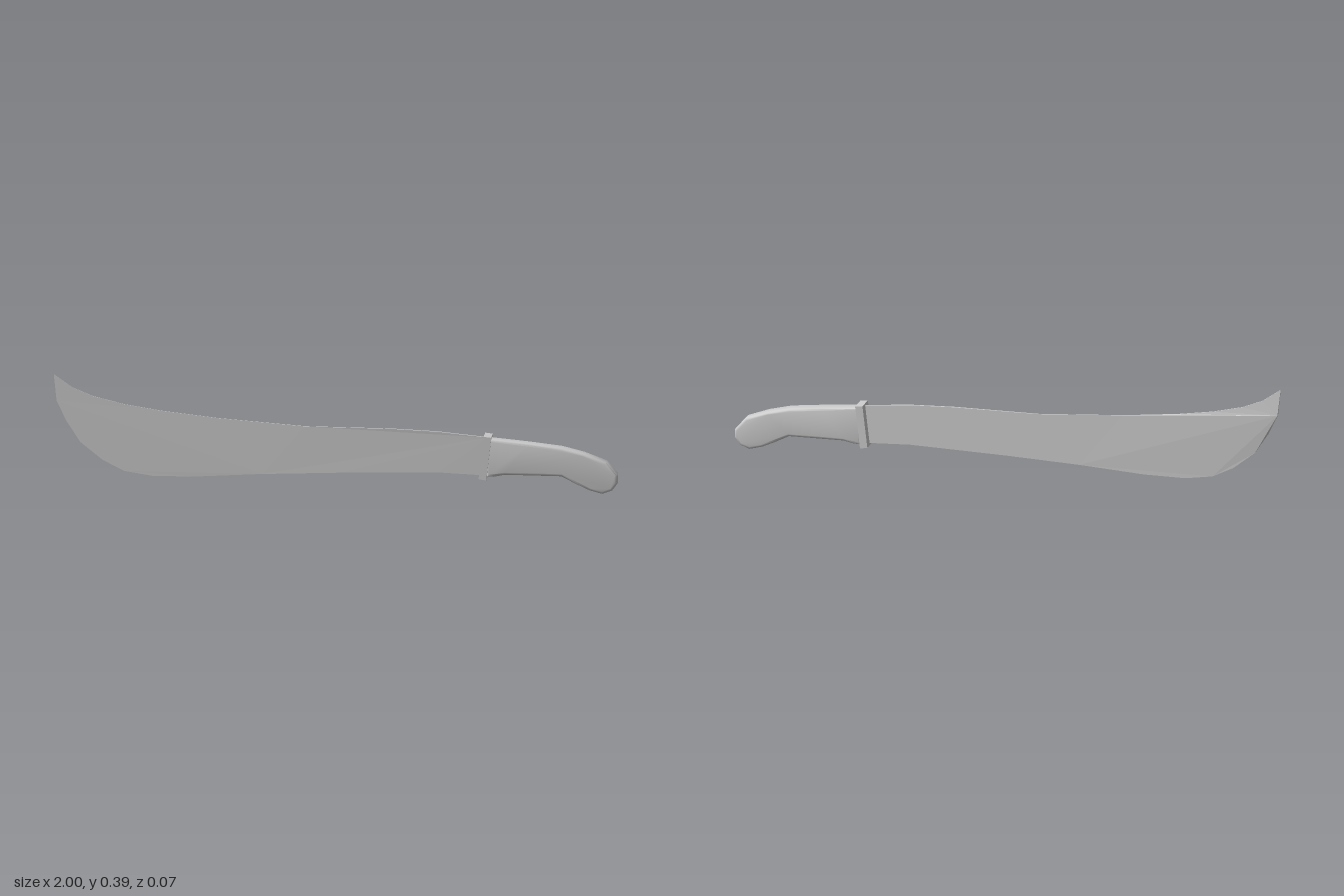
import * as THREE from 'three';
import { toCreasedNormals } from 'three/addons/utils/BufferGeometryUtils.js';

const material = new THREE.MeshStandardMaterial({ color: 0xcccccc });
const outline = (points) => new THREE.Shape(points.map(([x, y]) => new THREE.Vector2(x, y)));

function part(name, geometry) {
  const mesh = new THREE.Mesh(geometry, material);
  mesh.name = name;
  return mesh;
}

// Thin curved blade: spine from guard to tip, then cutting edge back to the guard
function bladeGeometry() {
  const spine = [
    [0.54, 0.195], [0.36, 0.213], [0.2, 0.22], [-0.11, 0.223], [-0.42, 0.247],
    [-0.62, 0.27], [-0.75, 0.291], [-0.86, 0.318], [-0.933, 0.348], [-1, 0.395],
  ];
  const edge = [
    [-0.99, 0.3], [-0.955, 0.227], [-0.906, 0.152], [-0.826, 0.088], [-0.75, 0.05],
    [-0.65, 0.034], [-0.5, 0.034], [-0.26, 0.048], [0.01, 0.058], [0.36, 0.066], [0.53, 0.058],
  ];
  const geometry = new THREE.ExtrudeGeometry(outline([...spine, ...edge]), { depth: 1, bevelEnabled: false });
  // Thickness tapers from the guard to the tip, with a slight bend at the tip's edge
  const p = geometry.attributes.position;
  for (let i = 0; i < p.count; i++) {
    const x = p.getX(i), y = p.getY(i);
    const front = 0.005 * THREE.MathUtils.smoothstep(x, -0.5, 0.4);
    const bent = x < -0.98 && y < 0.35;
    p.setZ(i, p.getZ(i) > 0.5 ? front : bent ? -0.01 : -0.003);
  }
  geometry.computeVertexNormals();
  return geometry;
}

// Slanted rectangular guard
function guardGeometry() {
  const shape = outline([[0.508, 0.051], [0.535, 0.046], [0.553, 0.201], [0.526, 0.204]]);
  return new THREE.ExtrudeGeometry(shape, { depth: 0.07, bevelEnabled: false }).translate(0, 0, -0.035);
}

// Grip with rounded rims and a drooping pommel
function gripGeometry() {
  const shape = outline([
    [0.535, 0.056], [0.56, 0.056], [0.6, 0.064], [0.7, 0.063], [0.8, 0.062], [0.85, 0.036],
    [0.9, 0.013], [0.945, 0.001], [0.98, 0.014], [0.999, 0.04], [0.999, 0.07],
    [0.96, 0.116], [0.88, 0.146], [0.8, 0.166], [0.68, 0.18], [0.535, 0.194],
  ]);
  const bevel = 0.01;
  const geometry = new THREE.ExtrudeGeometry(shape, {
    depth: 0.05 - 2 * bevel, bevelEnabled: true, bevelThickness: bevel,
    bevelSize: bevel, bevelOffset: -bevel, bevelSegments: 3,
  });
  geometry.translate(0, 0, bevel - 0.025);
  return toCreasedNormals(geometry, 0.6);
}

export function createModel() {
  const model = new THREE.Group();
  model.name = 'machete';
  model.add(
    part('blade', bladeGeometry()),
    part('guard', guardGeometry()),
    part('grip', gripGeometry()),
  );
  return model;
}
